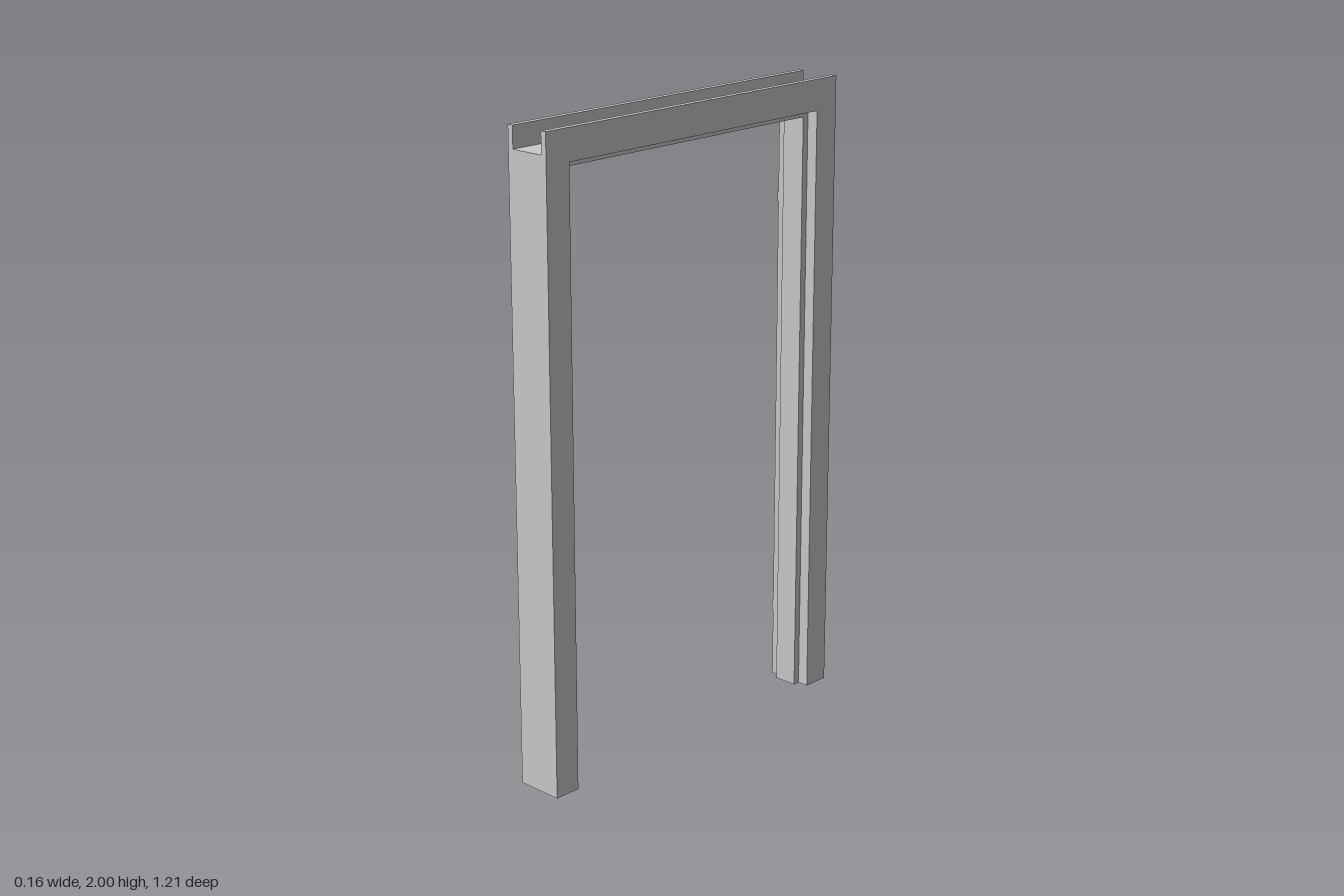
import * as THREE from 'three';

const material = new THREE.MeshStandardMaterial({ color: 0xcccccc });

// Upside-down U in the z-y plane, extruded along x from x0 to x1.
function portal(name, x0, x1, outerZ, outerTop, innerZ, innerTop) {
  const shape = new THREE.Shape([
    [-outerZ, 0], [-innerZ, 0], [-innerZ, innerTop], [innerZ, innerTop],
    [innerZ, 0], [outerZ, 0], [outerZ, outerTop], [-outerZ, outerTop],
  ].map(([a, b]) => new THREE.Vector2(a, b)));
  const geometry = new THREE.ExtrudeGeometry(shape, { depth: x1 - x0, bevelEnabled: false });
  geometry.rotateY(Math.PI / 2).translate(x0, 0, 0);
  const mesh = new THREE.Mesh(geometry, material);
  mesh.name = name;
  return mesh;
}

export function createModel() {
  const group = new THREE.Group();
  group.name = 'doorFrame';

  // Casings on both faces rise above the lining and leave a channel on top
  group.add(portal('rightCasing', -0.072, -0.053, 0.605, 2, 0.518, 1.903));
  group.add(portal('leftCasing', 0.061, 0.08, 0.605, 2, 0.518, 1.903));

  // Lining between the casings, and the raised door stop inside it
  group.add(portal('lining', -0.053, 0.061, 0.605, 1.933, 0.518, 1.903));
  group.add(portal('doorStop', -0.034, 0.044, 0.518, 1.903, 0.496, 1.882));

  // Hinge pins at the inner edge of the rear post
  for (const y of [0.24, 1.613]) {
    const pin = new THREE.Mesh(new THREE.CylinderGeometry(0.007, 0.007, 0.032, 16), material);
    pin.name = 'hingePin';
    pin.position.set(-0.076, y, -0.528);
    group.add(pin);
  }
  return group;
}
